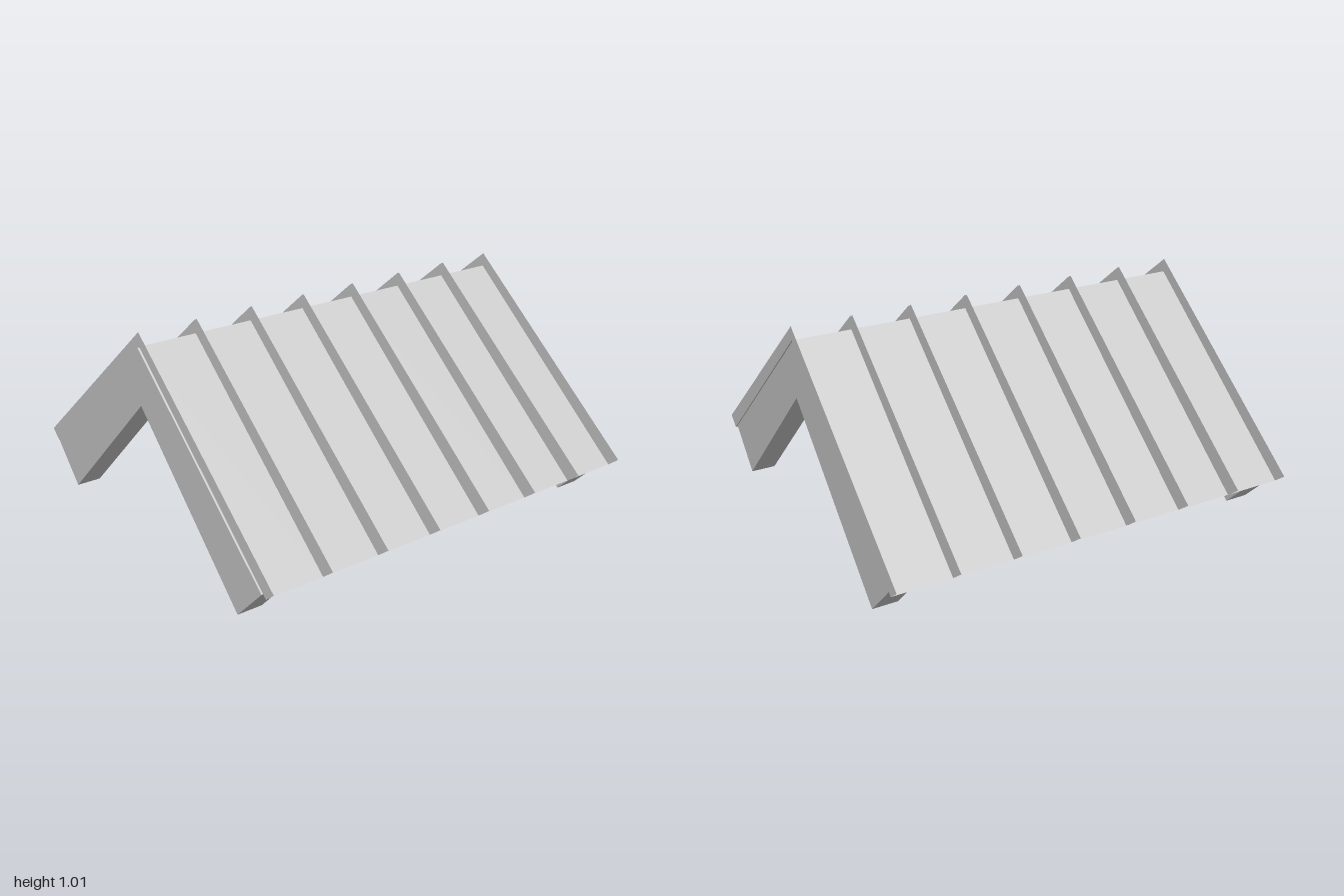
import * as THREE from 'three';

const material = new THREE.MeshStandardMaterial({ color: 0xcccccc, flatShading: true, side: THREE.DoubleSide });

// Closed shape from the right half of a mirrored outline (first and last points lie on x = 0)
function mirroredShape(half) {
  const left = half.slice(1, -1).reverse().map(([x, y]) => [-x, y]);
  return new THREE.Shape([...half, ...left].map(([x, y]) => new THREE.Vector2(x, y)));
}

function addMesh(parent, geometry, name, z = 0) {
  const mesh = new THREE.Mesh(geometry, material);
  mesh.name = name;
  mesh.position.z = z;
  parent.add(mesh);
}

// Roof sheet: one flat quad from the ridge down to the eave
function slopeGeometry(side, ridge, eave, depth) {
  const [ex, ey] = eave;
  const h = depth / 2;
  const g = new THREE.BufferGeometry();
  g.setAttribute('position', new THREE.Float32BufferAttribute([
    0, ridge, h, side * ex, ey, h, side * ex, ey, -h, 0, ridge, -h,
  ], 3));
  g.setIndex(side > 0 ? [0, 1, 2, 0, 2, 3] : [0, 2, 1, 0, 3, 2]);
  g.computeVertexNormals();
  return g;
}

export function createModel() {
  const model = new THREE.Group();
  model.name = 'gableRoof';

  // Seven roof panels, each an open tray with raised seams at front and back
  const count = 7, pitch = 0.2857, width = 0.278;
  const ridge = 0.945, eave = [0.924, 0.17], seamRidge = 1.01, seamEave = [0.98, 0.215];
  const seam = new THREE.ShapeGeometry(mirroredShape([[0, ridge], eave, seamEave, [0, seamRidge]]));
  for (let i = 0; i < count; i++) {
    const panel = new THREE.Group();
    panel.name = `roofPanel${i + 1}`;
    panel.position.z = -1 + width / 2 + i * pitch;
    for (const side of [-1, 1]) {
      addMesh(panel, slopeGeometry(side, ridge, eave, width), side > 0 ? 'leftSlope' : 'rightSlope');
    }
    addMesh(panel, seam, 'frontSeam', width / 2);
    addMesh(panel, seam, 'backSeam', -width / 2);
    model.add(panel);
  }

  // Chevron rafters under both ends
  const rafterShape = mirroredShape([[0, 0.675], [0.725, 0], [0.905, 0.184], [0, 0.942]]);
  const rafter = new THREE.ExtrudeGeometry(rafterShape, { depth: 0.118, bevelEnabled: false });
  addMesh(model, rafter, 'frontRafter', 0.882);
  addMesh(model, rafter, 'backRafter', -0.996);

  return model;
}
